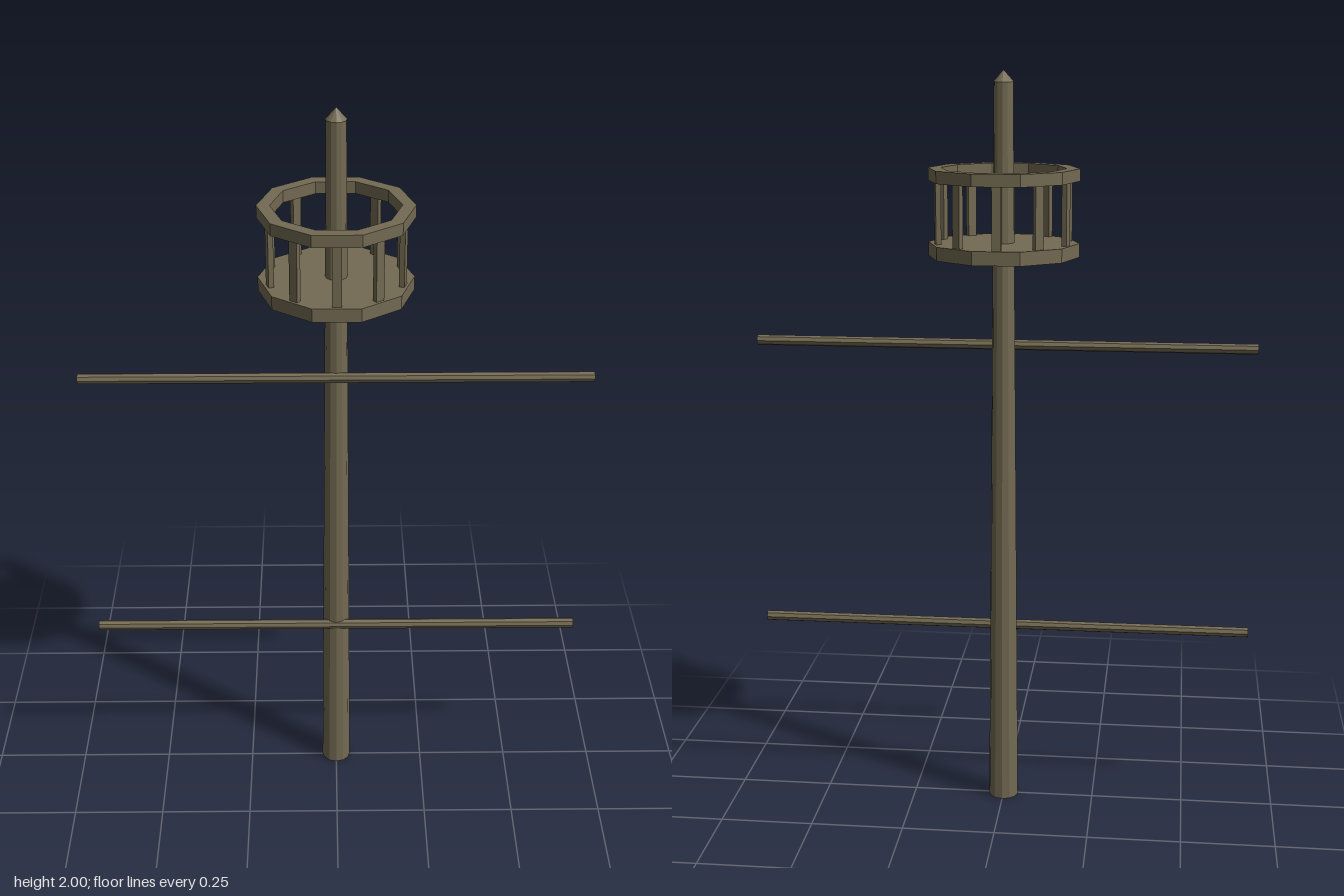
import * as THREE from 'three';

export function createModel() {
  const model = new THREE.Group();
  model.name = 'mastWithLookout';
  const wood = new THREE.MeshStandardMaterial({ color: 0x736a52, flatShading: true });
  const hollowWood = wood.clone();
  hollowWood.side = THREE.DoubleSide;

  function add(name, geometry, parent = model, material = wood) {
    const mesh = new THREE.Mesh(geometry, material);
    mesh.name = name;
    parent.add(mesh);
    return mesh;
  }

  // Tapered mast, open at the foot, with a pointed tip
  const mastZ = -0.004, mastTop = 1.97, mastSides = 12;
  add('mast', new THREE.CylinderGeometry(0.025, 0.0405, mastTop, mastSides, 1, true), model, hollowWood)
    .position.set(0, mastTop / 2, mastZ);
  add('mastTip', new THREE.ConeGeometry(0.027, 0.03, mastSides))
    .position.set(0, mastTop + 0.015, mastZ);

  // Two yards crossing the front of the mast
  for (const [name, y] of [['lowerYard', 0.497], ['upperYard', 1.285]]) {
    const yard = add(name, new THREE.CylinderGeometry(0.014, 0.014, 1.34, 8));
    yard.rotation.z = Math.PI / 2;
    yard.position.set(0, y, 0.024);
  }

  // Ten-sided lookout: floor, rail and a post in the middle of each side
  const lookout = new THREE.Group();
  lookout.name = 'lookout';
  lookout.rotation.y = Math.PI / 2;
  model.add(lookout);

  const sides = 10, outer = 0.198, inner = 0.164;
  add('lookoutFloor', new THREE.CylinderGeometry(outer, outer, 0.036, sides), lookout).position.y = 1.542;

  const railProfile = [[inner, 1.72], [outer, 1.72], [outer, 1.752], [inner, 1.752], [inner, 1.72]]
    .map(([r, y]) => new THREE.Vector2(r, y));
  add('lookoutRail', new THREE.LatheGeometry(railProfile, sides), lookout);

  for (let i = 0; i < sides; i++) {
    const angle = ((i + 0.5) / sides) * Math.PI * 2;
    const post = add('railPost', new THREE.BoxGeometry(0.024, 0.164, 0.014), lookout);
    post.position.set(Math.sin(angle) * 0.174, 1.64, Math.cos(angle) * 0.174);
    post.rotation.y = angle;
  }
  return model;
}
